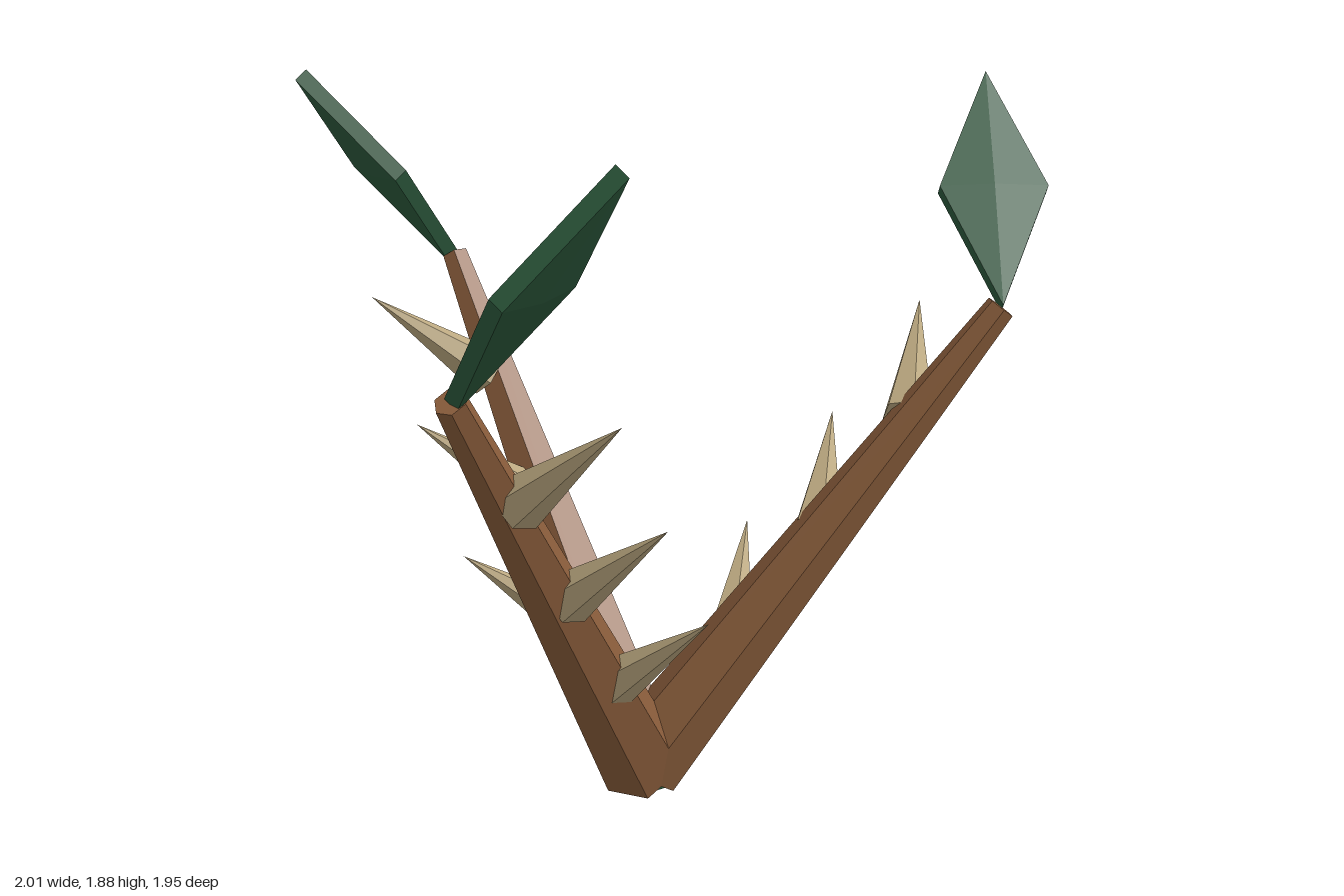
import * as THREE from 'three';

const bark = new THREE.MeshStandardMaterial({ color: 0x8b5e3c });
bark.name = 'bark brown';
const thornTan = new THREE.MeshStandardMaterial({ color: 0xbba880 });
thornTan.name = 'thorn tan';
const leafGreen = new THREE.MeshStandardMaterial({ color: 0x2d5a3d });
leafGreen.name = 'leaf green';

const UP = new THREE.Vector3(0, 1, 0);
const v = (x, y, z) => new THREE.Vector3(x, y, z);

// Faceted mesh: every face gets its own normal
function part(name, geometry, material) {
  const flat = geometry.toNonIndexed();
  flat.computeVertexNormals();
  const mesh = new THREE.Mesh(flat, material);
  mesh.name = name;
  return mesh;
}

// Tapered solid running from one point to another
function taper(name, from, to, rBase, rTip, sides, material) {
  const dir = to.clone().sub(from);
  const length = dir.length();
  const g = rTip > 0
    ? new THREE.CylinderGeometry(rTip, rBase, length, sides)
    : new THREE.ConeGeometry(rBase, length, sides);
  const mesh = part(name, g, material);
  mesh.position.copy(from).add(to).multiplyScalar(0.5);
  mesh.quaternion.setFromUnitVectors(UP, dir.normalize());
  return mesh;
}

// One stem leaning towards +x, with its thorns and leaf
function createBranch() {
  const branch = new THREE.Group();
  branch.name = 'branch';
  const foot = v(0, 0.067, 0);
  const end = v(0.948, 1.32, 0);
  branch.add(taper('stem', foot, end, 0.12, 0.04, 6, bark));

  // Thorns evenly spaced along one side of the stem
  for (let i = 0; i < 3; i++) {
    const shift = v(0.237, 0.313, 0).multiplyScalar(i - 2);
    const root = v(0.718, 1.02, -0.035).add(shift);
    const tip = v(0.803, 1.265, -0.35).add(shift);
    branch.add(taper('thorn', root, tip, 0.07, 0, 6, thornTan));
  }

  // Diamond leaf: thin rim with a slightly raised middle
  const profile = [[0, -0.032], [1, -0.021], [1, 0.021], [0, 0.032]]
    .map(([x, y]) => new THREE.Vector2(x, y));
  const g = new THREE.LatheGeometry(profile, 4);
  const halfWidth = v(0.145, 0, 0.01);
  const halfLength = v(-0.015, -0.276, 0.221);
  const normal = halfLength.clone().cross(halfWidth).normalize();
  g.applyMatrix4(new THREE.Matrix4().makeBasis(halfWidth, normal, halfLength));
  const leaf = part('leaf', g, leafGreen);
  leaf.position.set(0.968, 1.59, -0.225);
  branch.add(leaf);
  return branch;
}

export function createModel() {
  const model = new THREE.Group();
  model.name = 'thornyPlant';
  const plant = new THREE.Group();
  plant.name = 'plant';
  plant.position.set(-0.113, 0, -0.11);
  model.add(plant);

  // Three branches around the centre
  for (let i = 0; i < 3; i++) {
    const branch = createBranch();
    branch.rotation.y = (i * Math.PI * 2) / 3;
    plant.add(branch);
  }

  // Small green bud under the joint
  const bud = part('bud', new THREE.CylinderGeometry(0.08, 0.07, 0.1, 6), leafGreen);
  bud.position.y = 0.052;
  plant.add(bud);
  return model;
}
